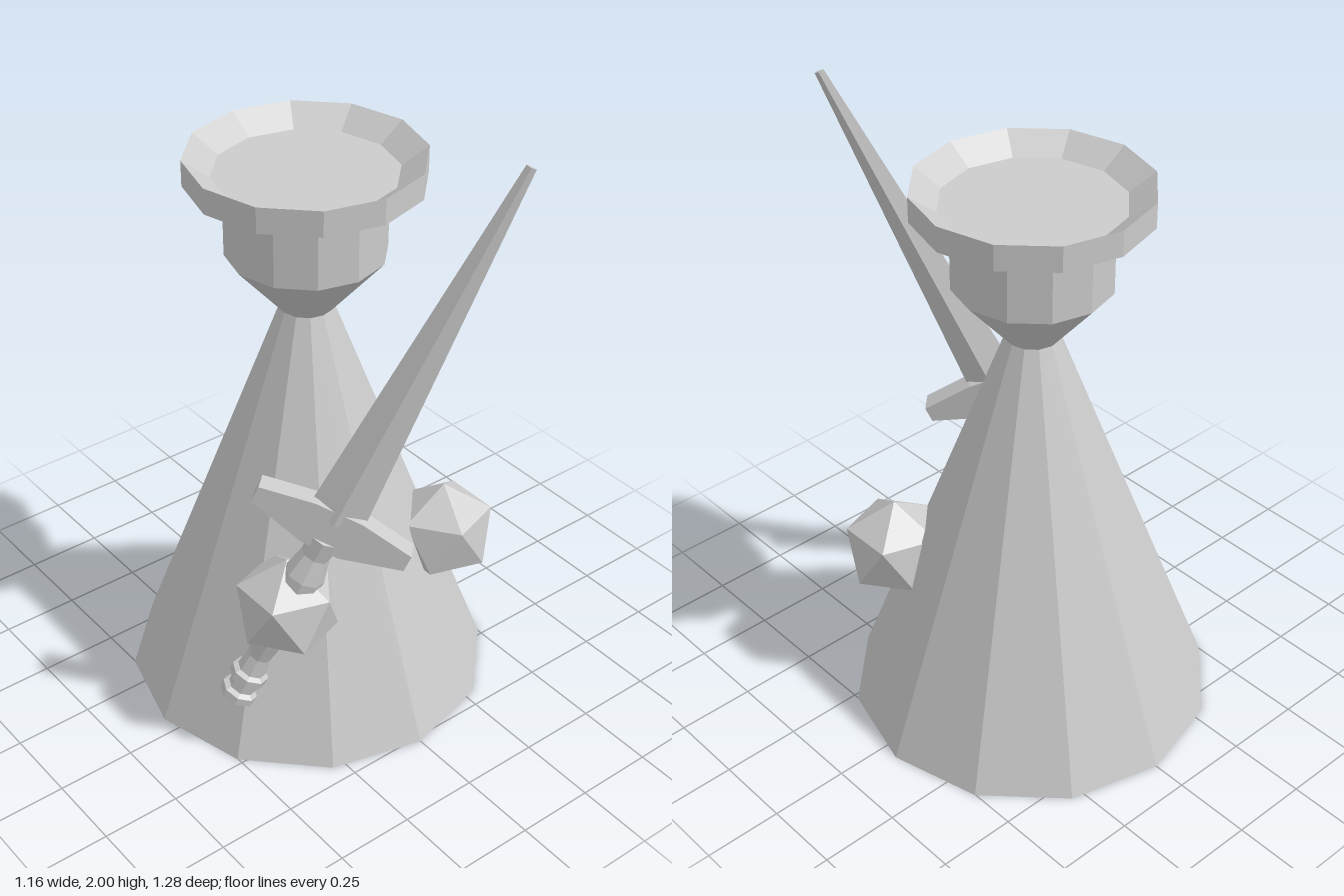
import * as THREE from 'three';
import { ConvexGeometry } from 'three/addons/geometries/ConvexGeometry.js';

const material = new THREE.MeshStandardMaterial({ color: 0xcccccc, flatShading: true, side: THREE.DoubleSide });

function add(parent, name, geometry) {
  const mesh = new THREE.Mesh(geometry, material);
  mesh.name = name;
  parent.add(mesh);
  return mesh;
}

const lathe = (points, sides) =>
  new THREE.LatheGeometry(points.map(([r, y]) => new THREE.Vector2(r, y)), sides);

// Icosahedron standing on a vertex; side = -1 mirrors it
function handGeometry(radius, side) {
  const points = [new THREE.Vector3(0, radius, 0), new THREE.Vector3(0, -radius, 0)];
  const ring = radius * 0.894, height = radius * 0.447;
  for (let i = 0; i < 5; i++) {
    const a = i * Math.PI * 0.4;
    const x = Math.cos(a) * ring * side, z = Math.sin(a) * ring;
    points.push(new THREE.Vector3(-x, height, z), new THREE.Vector3(x, -height, z));
  }
  return new ConvexGeometry(points);
}

function createSword() {
  const sword = new THREE.Group();
  sword.name = 'sword';

  // Four-sided blade tapering to a blunt tip
  const blade = add(sword, 'blade', new THREE.CylinderGeometry(0.015, 0.088, 1.23, 4));
  blade.position.y = 0.635;
  blade.scale.z = 0.5;

  // Crossguard: thick in the middle, narrow at the ends
  const outline = [[-0.245, -0.025], [-0.06, -0.08], [0.06, -0.08], [0.245, -0.025],
    [0.245, 0.03], [0.075, 0.06], [-0.075, 0.06], [-0.245, 0.03]];
  const shape = new THREE.Shape(outline.map(([x, y]) => new THREE.Vector2(x, y)));
  const guard = new THREE.ExtrudeGeometry(shape, { depth: 0.07, bevelEnabled: false });
  add(sword, 'crossguard', guard.translate(0, 0, -0.035));

  // Swelling grip with a ringed pommel
  add(sword, 'gripAndPommel', lathe([
    [0, -0.71], [0.06, -0.71], [0.06, -0.685], [0.045, -0.675], [0.045, -0.645],
    [0.06, -0.635], [0.06, -0.61], [0.046, -0.6], [0.038, -0.54], [0.05, -0.47],
    [0.062, -0.33], [0.064, -0.2], [0.045, -0.12], [0.05, -0.05], [0, -0.05],
  ], 8));

  // Lean the sword along its axis, flat side turned outwards
  const up = new THREE.Vector3(0.655, 1.8, 0.47).normalize();
  const out = new THREE.Vector3().crossVectors(new THREE.Vector3(0.31, -0.2, 0.34), up).normalize();
  const across = new THREE.Vector3().crossVectors(up, out);
  sword.quaternion.setFromRotationMatrix(new THREE.Matrix4().makeBasis(across, up, out));
  sword.position.set(-0.212, 0.85, 0.335);
  return sword;
}

export function createModel() {
  const model = new THREE.Group();
  model.name = 'chessPawnWarrior';

  const body = new THREE.Group();
  body.name = 'body';
  body.position.z = -0.06;
  model.add(body);

  // Conical robe
  add(body, 'robe', lathe([[0, 0], [0.58, 0], [0.082, 1.33], [0, 1.33]], 12));
  // Head flaring from the neck
  add(body, 'head', lathe([[0, 1.33], [0.082, 1.33], [0.242, 1.515], [0.242, 1.745]], 12));
  // Brim with a dished top
  add(body, 'brim', lathe([[0.242, 1.745], [0.355, 1.745], [0.355, 1.825], [0.275, 1.768], [0, 1.768]], 12));

  // Hands
  for (const [name, side] of [['leftHand', 1], ['rightHand', -1]]) {
    add(model, name, handGeometry(0.17, side)).position.set(0.308 * side, 0.535, 0.24);
  }

  model.add(createSword());
  return model;
}
